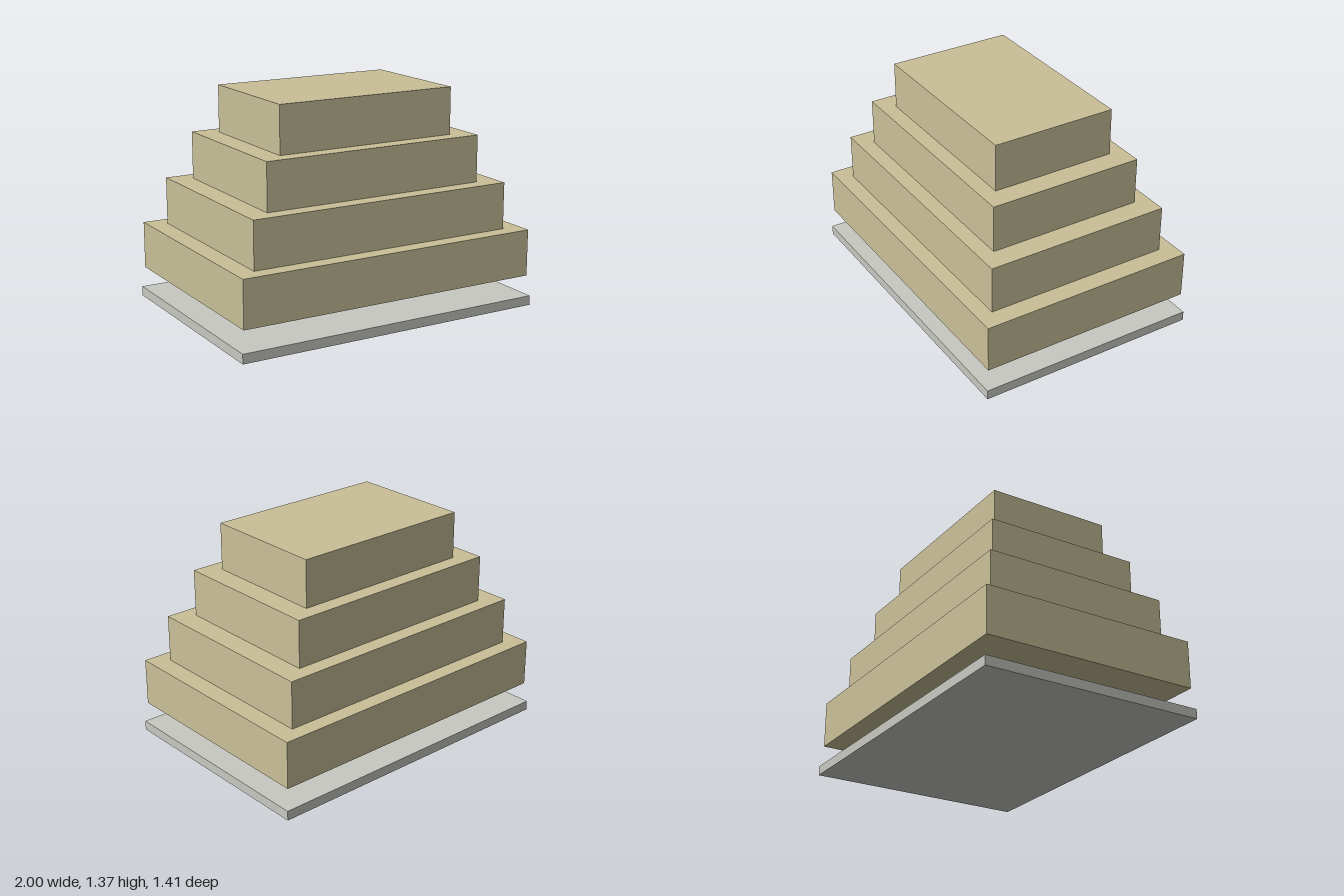
import * as THREE from 'three';

export function createModel() {
  const model = new THREE.Group();
  const sandstone = new THREE.MeshStandardMaterial({ color: 0xc9c098 });
  sandstone.name = 'sandstone';
  const paleGrey = new THREE.MeshStandardMaterial({ color: 0xc8c8c2 });
  paleGrey.name = 'paleGrey';

  // A box given by its footprint and the heights of its bottom and top
  function addSlab(name, width, depth, bottom, top, material) {
    const mesh = new THREE.Mesh(new THREE.BoxGeometry(width, top - bottom, depth), material);
    mesh.name = name;
    mesh.position.y = (bottom + top) / 2;
    model.add(mesh);
  }

  // Ground slab, with an open gap above it
  addSlab('groundSlab', 2, 1.406, 0, 0.06, paleGrey);

  // Four stepped storeys of equal height
  const storeyHeight = 0.294;
  const firstFloor = 0.19;
  const footprints = [[1.965, 1.372], [1.727, 1.176], [1.45, 0.98], [1.175, 0.784]];
  footprints.forEach(([width, depth], i) => {
    const bottom = firstFloor + i * storeyHeight;
    addSlab(`storey${i + 1}`, width, depth, bottom, bottom + storeyHeight, sandstone);
  });

  return model;
}
